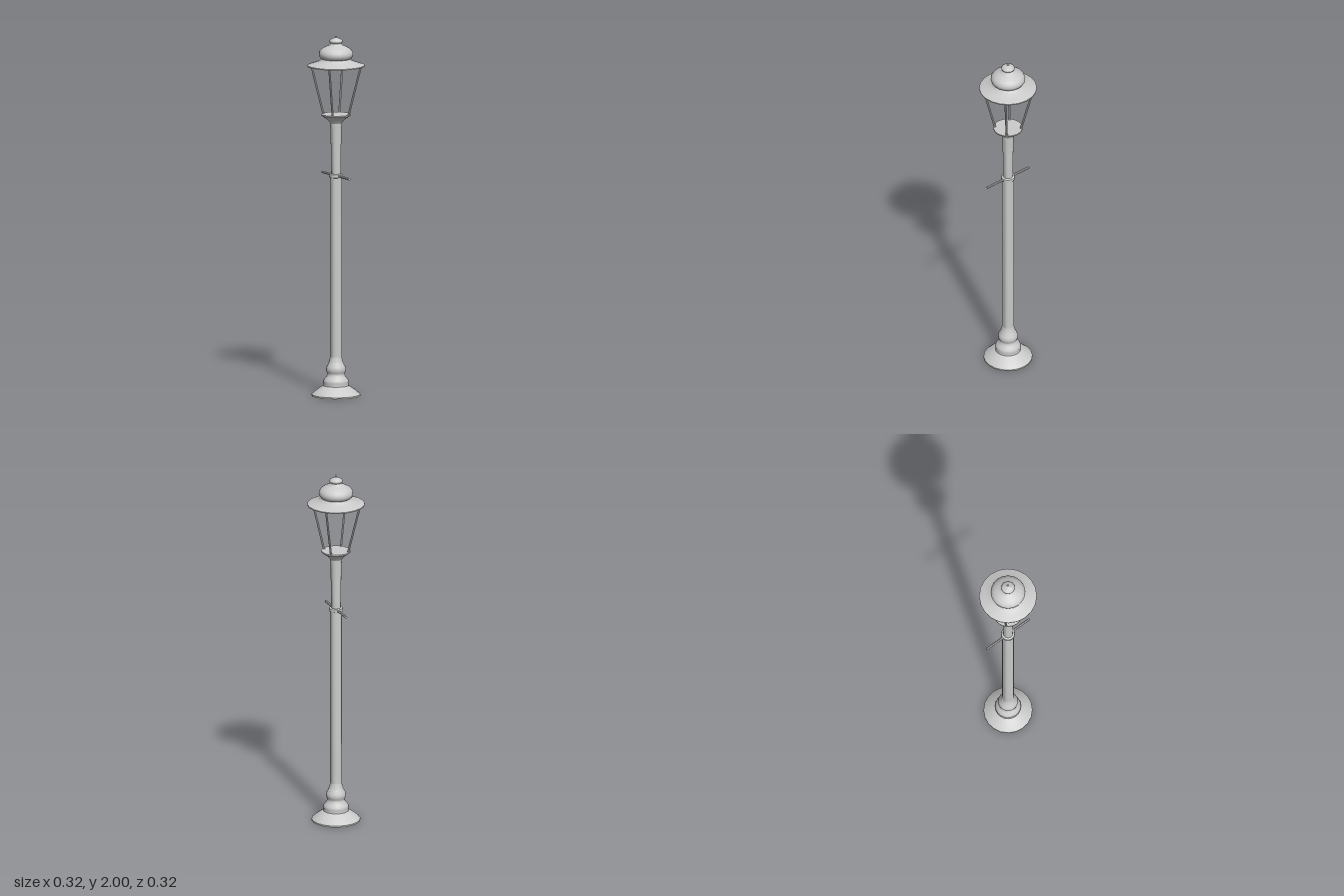
import * as THREE from 'three';
import { toCreasedNormals } from 'three/addons/utils/BufferGeometryUtils.js';

const material = new THREE.MeshStandardMaterial({ color: 0xcccccc });

// Turned part: profile of [radius, height] pairs from bottom to top
function turned(name, profile, sides = 20) {
  const points = profile.map(([r, y]) => new THREE.Vector2(r, y));
  const mesh = new THREE.Mesh(toCreasedNormals(new THREE.LatheGeometry(points, sides), 0.7), material);
  mesh.name = name;
  return mesh;
}

// Straight round bar between two points
function bar(name, from, to, radius, sides = 8) {
  const direction = to.clone().sub(from);
  const geometry = new THREE.CylinderGeometry(radius, radius, direction.length(), sides);
  const mesh = new THREE.Mesh(toCreasedNormals(geometry, 0.9), material);
  mesh.name = name;
  mesh.position.copy(from).add(to).multiplyScalar(0.5);
  mesh.quaternion.setFromUnitVectors(new THREE.Vector3(0, 1, 0), direction.normalize());
  return mesh;
}

export function createModel() {
  const lamp = new THREE.Group();
  lamp.name = 'streetLamp';

  // Flared foot with two swellings
  lamp.add(turned('base', [
    [0, 0], [0.134, 0], [0.134, 0.008], [0.115, 0.025], [0.09, 0.043], [0.07, 0.056],
    [0.068, 0.066], [0.071, 0.075], [0.068, 0.087], [0.058, 0.1], [0.049, 0.112], [0.047, 0.122],
    [0.053, 0.134], [0.055, 0.146], [0.052, 0.16], [0.042, 0.178], [0.036, 0.195], [0.032, 0.215], [0, 0.215],
  ]));

  // Main shaft
  lamp.add(turned('lowerPole', [[0.032, 0.2], [0.032, 1.212]]));

  // Collar ring where the shaft narrows
  lamp.add(turned('collar', [
    [0.03, 1.208], [0.037, 1.211], [0.039, 1.219], [0.037, 1.227], [0.026, 1.23],
  ]));

  // Upper shaft, widening gently towards the lantern
  lamp.add(turned('upperPole', [
    [0.026, 1.225], [0.027, 1.3], [0.029, 1.4], [0.031, 1.48], [0.033, 1.515],
  ]));

  // Dish under the lantern
  lamp.add(turned('lanternDish', [
    [0.032, 1.508], [0.038, 1.52], [0.05, 1.532], [0.066, 1.543], [0.08, 1.553], [0.08, 1.56], [0, 1.56],
  ]));

  // Ladder rest running front to back
  lamp.add(bar('ladderRest', new THREE.Vector3(0, 1.219, -0.147), new THREE.Vector3(0, 1.219, 0.147), 0.007));

  // Four splayed lantern posts on the diagonals
  for (const sx of [-1, 1]) for (const sz of [-1, 1]) {
    lamp.add(bar('lanternPost',
      new THREE.Vector3(sx * 0.05, 1.555, sz * 0.05),
      new THREE.Vector3(sx * 0.1, 1.832, sz * 0.1), 0.006));
  }

  // Wide roof brim, closed underneath
  lamp.add(turned('roofBrim', [
    [0, 1.826], [0.158, 1.826], [0.158, 1.832], [0.125, 1.843], [0.098, 1.852], [0.082, 1.862], [0.078, 1.868],
  ]));

  // Bulging roof dome
  lamp.add(turned('roofDome', [
    [0.078, 1.866], [0.087, 1.873], [0.093, 1.883], [0.095, 1.894], [0.092, 1.906], [0.084, 1.918],
    [0.07, 1.928], [0.053, 1.936], [0.038, 1.942], [0.031, 1.949], [0.029, 1.956],
  ]));

  // Knob and pointed tip
  lamp.add(turned('finial', [
    [0.029, 1.953], [0.035, 1.958], [0.037, 1.965], [0.034, 1.972], [0.024, 1.978],
    [0.012, 1.982], [0.006, 1.986], [0.007, 1.991], [0.004, 1.996], [0, 2],
  ]));

  return lamp;
}
